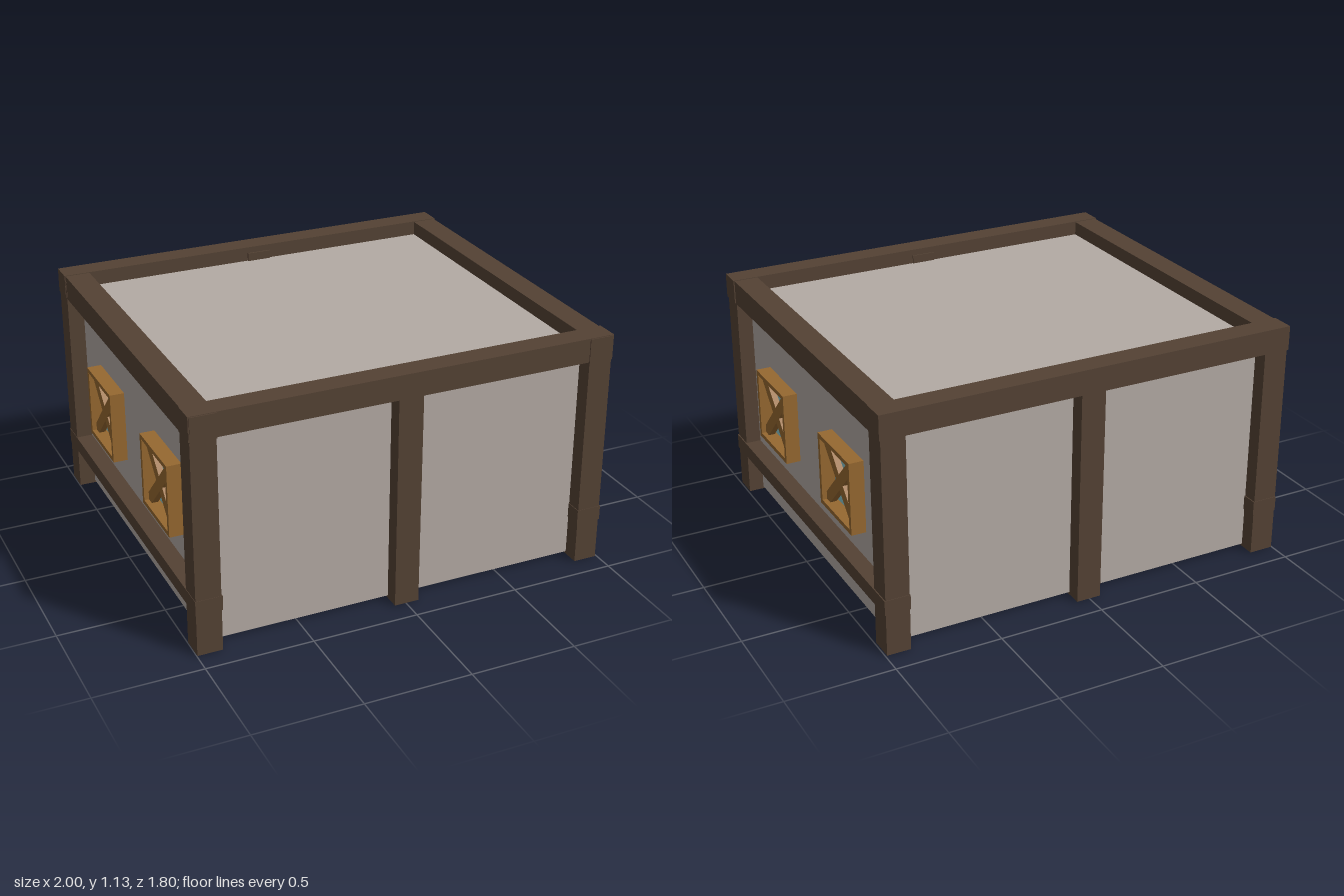
import * as THREE from 'three';

const material = (name, color) => {
  const m = new THREE.MeshStandardMaterial({ color });
  m.name = name;
  return m;
};

export function createModel() {
  const plaster = material('plaster', 0xb3aaa4);
  const timber = material('darkTimber', 0x544234);
  const frameWood = material('windowWood', 0x966830);
  const glass = material('glass', 0x88c6ce);

  const model = new THREE.Group();
  model.name = 'timberHouse';

  // Box given by its minimum and maximum on each axis
  const block = (parent, name, mat, [x0, x1], [y0, y1], [z0, z1]) => {
    const mesh = new THREE.Mesh(new THREE.BoxGeometry(x1 - x0, y1 - y0, z1 - z0), mat);
    mesh.position.set((x0 + x1) / 2, (y0 + y1) / 2, (z0 + z1) / 2);
    mesh.name = name;
    parent.add(mesh);
    return mesh;
  };

  // Plaster body with flat roof
  block(model, 'walls', plaster, [-0.92, 0.92], [0.012, 1.06], [-0.82, 0.82]);

  // Corner and middle posts
  for (const [end, z] of [['front', [0.784, 0.898]], ['back', [-0.892, -0.778]]]) {
    block(model, end + 'RightPost', timber, [-0.997, -0.88], [0, 1.1], z);
    block(model, end + 'LeftPost', timber, [0.88, 0.992], [0, 1.1], z);
  }
  block(model, 'frontMiddlePost', timber, [-0.055, 0.062], [0, 1.1], [0.78, 0.893]);
  block(model, 'backMiddlePost', timber, [-0.055, 0.062], [0, 1.1], [-0.893, -0.782]);

  // Top beams, overlapping at the corners
  block(model, 'frontBeam', timber, [-1, 1], [1.016, 1.13], [0.786, 0.895]);
  block(model, 'backBeam', timber, [-1, 1], [1.016, 1.13], [-0.9, -0.79]);
  block(model, 'rightBeam', timber, [-0.995, -0.876], [1.013, 1.127], [-0.897, 0.9]);
  block(model, 'leftBeam', timber, [0.88, 0.995], [1.013, 1.127], [-0.897, 0.9]);

  // Low side rails, their ends just showing through the posts
  block(model, 'rightRail', timber, [-0.999, -0.875], [0.2, 0.27], [-0.895, 0.9]);
  block(model, 'leftRail', timber, [0.877, 0.997], [0.2, 0.27], [-0.895, 0.9]);

  // Window facing +z, its back at z = 0
  const makeWindow = (name) => {
    const g = new THREE.Group();
    g.name = name;
    const h = 0.173, t = 0.021, depth = 0.072;
    const outline = new THREE.Shape([[-h, -h], [h, -h], [h, h], [-h, h]].map(p => new THREE.Vector2(...p)));
    const i = h - t;
    outline.holes.push(new THREE.Path([[-i, -i], [-i, i], [i, i], [i, -i]].map(p => new THREE.Vector2(...p))));
    const frame = new THREE.Mesh(
      new THREE.ExtrudeGeometry(outline, { depth, bevelEnabled: false }), frameWood);
    frame.name = 'windowFrame';
    g.add(frame);
    block(g, 'windowPane', glass, [-i, i], [-i, i], [0.002, 0.008]);
    // Crossed bars
    for (const s of [-1, 1]) {
      const bar = block(g, 'crossBar', frameWood, [-0.217, 0.217], [-0.027, 0.027],
        s > 0 ? [0.02, 0.05] : [0.021, 0.049]);
      bar.rotation.z = s * Math.PI / 4;
    }
    return g;
  };

  // Two windows on each side
  for (const side of [-1, 1]) {
    for (const [place, z] of [['Front', 0.398], ['Back', -0.368]]) {
      const w = makeWindow((side > 0 ? 'left' : 'right') + place + 'Window');
      w.position.set(side * 0.917, 0.578, z);
      w.rotation.y = side * Math.PI / 2;
      model.add(w);
    }
  }

  return model;
}
